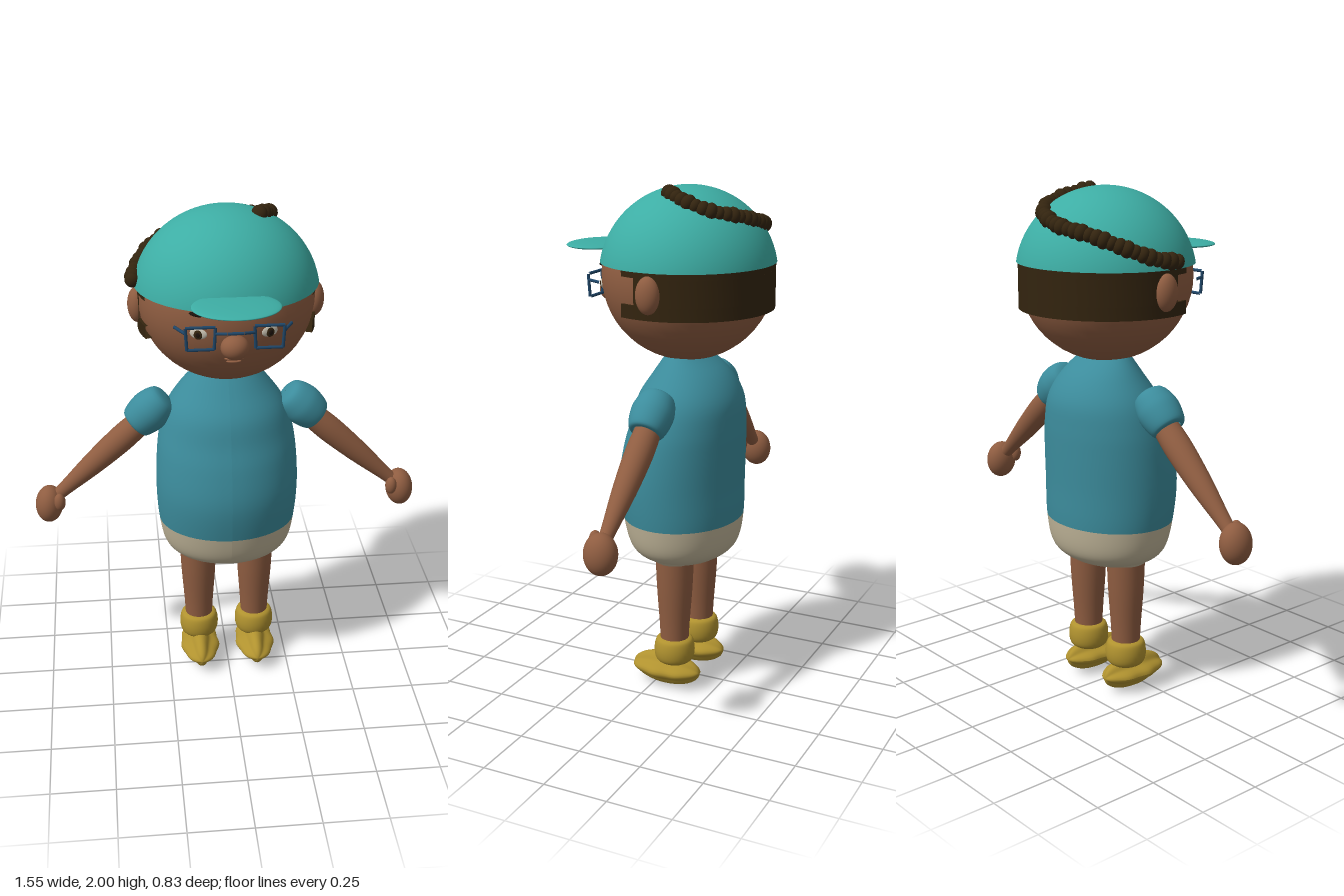
import * as THREE from 'three';
import { toCreasedNormals } from 'three/addons/utils/BufferGeometryUtils.js';

const V = (x, y, z) => new THREE.Vector3(x, y, z);
const makeMat = (name, color, side = THREE.FrontSide) => {
  const m = new THREE.MeshStandardMaterial({ color, side });
  m.name = name;
  return m;
};

export function createModel() {
  const skin = makeMat('skin', 0x8f5d41);
  const shirt = makeMat('shirt blue', 0x3c8c9c, THREE.DoubleSide);
  const shorts = makeMat('shorts beige', 0xbfb498, THREE.DoubleSide);
  const teal = makeMat('cap teal', 0x3dada4, THREE.DoubleSide);
  const hair = makeMat('hair brown', 0x33240f, THREE.DoubleSide);
  const gold = makeMat('shoe gold', 0xb0922f);
  const navy = makeMat('glasses navy', 0x1f4668);
  const white = makeMat('eye white', 0xc9c2b2);
  const dark = makeMat('pupil dark', 0x1c130c);

  const model = new THREE.Group();
  const add = (name, geo, mat, parent = model) => {
    const mesh = new THREE.Mesh(geo, mat);
    mesh.name = name;
    parent.add(mesh);
    return mesh;
  };
  const ball = (name, mat, pos, size, parent) => {
    const mesh = add(name, new THREE.SphereGeometry(1, 40, 28), mat, parent);
    mesh.position.set(...pos);
    mesh.scale.set(...size);
    return mesh;
  };
  // Round limb along a line: profile rows are [radius, distance from start]
  const limb = (name, mat, profile, from, dir, parent) => {
    const curve = new THREE.SplineCurve(profile.map(p => new THREE.Vector2(...p)));
    const mesh = add(name, new THREE.LatheGeometry(curve.getPoints(24), 32), mat, parent);
    mesh.position.copy(from);
    mesh.quaternion.setFromUnitVectors(V(0, 1, 0), dir.clone().normalize());
    return mesh;
  };
  const tube = (name, mat, pts, r, closed = false) => {
    const path = new THREE.CurvePath();
    const n = closed ? pts.length : pts.length - 1;
    for (let i = 0; i < n; i++) path.add(new THREE.LineCurve3(pts[i], pts[(i + 1) % pts.length]));
    return path.curves.map(c => add(name, new THREE.TubeGeometry(c, 1, r, 8), mat));
  };

  // Torso: oval rings [y, half width, front z, back z]
  const rings = [
    [0.517, 0.004, -0.07, -0.08], [0.525, 0.1, 0.0, -0.16], [0.55, 0.19, 0.075, -0.23],
    [0.6, 0.25, 0.13, -0.28], [0.71, 0.275, 0.16, -0.3], [0.86, 0.284, 0.177, -0.302],
    [1.0, 0.279, 0.155, -0.305], [1.1, 0.265, 0.125, -0.305], [1.2, 0.235, 0.097, -0.295],
    [1.29, 0.175, 0.04, -0.245], [1.37, 0.11, -0.015, -0.155],
  ];
  const widths = new THREE.CatmullRomCurve3(rings.map(r => V(r[1], r[0], 0)), false, 'catmullrom', 0.5);
  const depths = new THREE.CatmullRomCurve3(rings.map(r => V(r[2], r[0], r[3])), false, 'catmullrom', 0.5);
  const loft = (t0, t1, rows = 28, cols = 48) => {
    const geo = new THREE.CylinderGeometry(1, 1, 1, cols, rows, true);
    const p = geo.attributes.position;
    for (let i = 0; i < p.count; i++) {
      const t = t0 + (t1 - t0) * (p.getY(i) + 0.5);
      const w = widths.getPoint(t), d = depths.getPoint(t);
      p.setXYZ(i, p.getX(i) * w.x, w.y, (d.x + d.z) / 2 + p.getZ(i) * (d.x - d.z) / 2);
    }
    geo.computeVertexNormals();
    return geo;
  };
  add('shorts', loft(0, 0.4), shorts);
  add('shirt', loft(0.4, 1), shirt);

  // Head, nose and mouth
  const HZ = -0.085;
  ball('head', skin, [0, 1.663, HZ], [0.335, 0.325, 0.328]);
  ball('nose', skin, [0, 1.582, 0.245], [0.052, 0.046, 0.046]);
  ball('upperLip', skin, [0, 1.523, 0.208], [0.036, 0.006, 0.012]);
  ball('lowerLip', skin, [0, 1.51, 0.203], [0.028, 0.006, 0.012]);

  // Cap shell, cut off flat above the ears, with a thin peak
  const cap = add('cap', new THREE.SphereGeometry(1, 64, 32, 0, Math.PI * 2, 0, Math.acos(0.16)), teal);
  cap.position.set(0, 1.66, HZ);
  cap.scale.set(0.353, 0.336, 0.335);
  ball('capPeak', teal, [0, 1.756, 0.29], [0.16, 0.014, 0.125]);

  // Hair band around the back, notched in front of the ears
  for (const [y0, y1, a] of [[1.54, 1.59, 1.18], [1.59, 1.69, 1.37], [1.69, 1.725, 1.18]]) {
    const profile = [[0.87, y0], [1, y0], [1, y1], [0.87, y1]].map(p => new THREE.Vector2(...p));
    const geo = new THREE.LatheGeometry(profile, 48, a, Math.PI * 2 - 2 * a);
    geo.scale(0.337, 1, 0.328);
    add('hairBand', toCreasedNormals(geo, 0.6), hair).position.z = HZ;
  }

  // Braid of squashed beads lying on the cap
  const trail = [[0.12, -0.06], [0.165, -0.14], [0.155, -0.24], [0.06, -0.32], [-0.06, -0.345],
    [-0.18, -0.31], [-0.28, -0.235], [-0.335, -0.13], [-0.352, -0.04]];
  const braidPath = new THREE.CatmullRomCurve3(trail.map(([x, z]) => {
    const k = 1 - (x / 0.353) ** 2 - ((z - HZ) / 0.335) ** 2;
    return V(x, 1.66 + 0.336 * Math.sqrt(Math.max(k, 0.06)), z);
  }));
  const braid = new THREE.Group();
  braid.name = 'braid';
  model.add(braid);
  const beads = 32;
  for (let i = 0; i <= beads; i++) {
    const p = braidPath.getPointAt(i / beads);
    const r = 0.031 + 0.003 * Math.sin(i * 2.1);
    const bead = add('braidBead', new THREE.SphereGeometry(r, 18, 12), hair, braid);
    bead.scale.y = 0.8;
    bead.position.copy(p);
    bead.quaternion.setFromUnitVectors(V(0, 1, 0), braidPath.getTangentAt(i / beads));
  }

  // Glasses bridge
  tube('glassesBridge', navy, [V(-0.07, 1.64, 0.25), V(-0.03, 1.647, 0.272),
    V(0.03, 1.647, 0.272), V(0.07, 1.64, 0.25)], 0.006);

  for (const s of [-1, 1]) {
    const side = s > 0 ? 'left' : 'right';
    ball(side + 'Ear', skin, [s * 0.335, 1.632, -0.08], [0.038, 0.07, 0.047]);

    // Eyes and brows
    const eye = new THREE.Group();
    eye.name = side + 'Eye';
    eye.position.set(s * 0.128, 1.628, 0.213);
    eye.rotation.y = s * 0.38;
    model.add(eye);
    ball('eyeWhite', white, [0, 0, 0], [0.033, 0.022, 0.009], eye);
    ball('iris', hair, [0, -0.003, 0.006], [0.017, 0.018, 0.005], eye);
    ball('pupil', dark, [0, -0.003, 0.009], [0.009, 0.01, 0.004], eye);
    const brow = ball(side + 'Brow', dark, [s * 0.137, 1.7, 0.212], [0.026, 0.007, 0.01]);
    brow.rotation.set(0, s * 0.4, s * 0.12);

    // Glasses rim and short temple
    tube(side + 'GlassesRim', navy, [V(s * 0.07, 1.665, 0.25), V(s * 0.178, 1.665, 0.25),
      V(s * 0.173, 1.578, 0.246), V(s * 0.075, 1.578, 0.246)], 0.006, true);
    tube(side + 'GlassesTemple', navy, [V(s * 0.175, 1.642, 0.25), V(s * 0.212, 1.642, 0.18)], 0.006);

    // Sleeve, arm, hand and thumb
    const dir = V(s * 0.29, -0.265, 0);
    limb(side + 'Sleeve', shirt, [[0.001, 0], [0.058, 0.012], [0.08, 0.07], [0.079, 0.12], [0.066, 0.165], [0.045, 0.172]],
      V(s * 0.235, 1.245, -0.08), dir);
    limb(side + 'Arm', skin, [[0.05, 0], [0.053, 0.1], [0.045, 0.25], [0.03, 0.4], [0.026, 0.45]],
      V(s * 0.345, 1.13, -0.083), dir);
    ball(side + 'Hand', skin, [s * 0.718, 0.782, -0.085], [0.055, 0.078, 0.064]).rotation.z = s * 0.08;
    ball(side + 'Thumb', skin, [s * 0.674, 0.812, -0.04], [0.023, 0.037, 0.023]);

    // Leg with shorts cuff and sock
    const up = V(0, 1, 0), foot = V(s * 0.118, 0, -0.085);
    limb(side + 'Leg', skin, [[0.055, 0.18], [0.06, 0.28], [0.071, 0.44], [0.077, 0.6]], foot, up);
    limb(side + 'Cuff', shorts, [[0.07, 0.543], [0.08, 0.55], [0.098, 0.575], [0.105, 0.61]], foot, up);
    limb(side + 'Sock', gold, [[0.04, 0.105], [0.072, 0.125], [0.081, 0.165], [0.073, 0.208], [0.05, 0.22]], foot, up);

    // Shoe: long ball pinched into four soft ridges
    const geo = new THREE.SphereGeometry(1, 48, 32);
    geo.rotateX(Math.PI / 2);
    const p = geo.attributes.position;
    for (let i = 0; i < p.count; i++) {
      const x = p.getX(i), y = p.getY(i), z = p.getZ(i);
      const k = 0.85 + 0.15 * Math.cos(4 * Math.atan2(y, x));
      const lump = 1 + 0.04 * Math.sin(z * 9);
      p.setXYZ(i, x * k * lump, y * k, z);
    }
    geo.scale(0.08, 0.069, 0.145);
    geo.computeVertexNormals();
    add(side + 'Shoe', geo, gold).position.set(s * 0.118, 0.073, -0.05);
  }
  return model;
}
